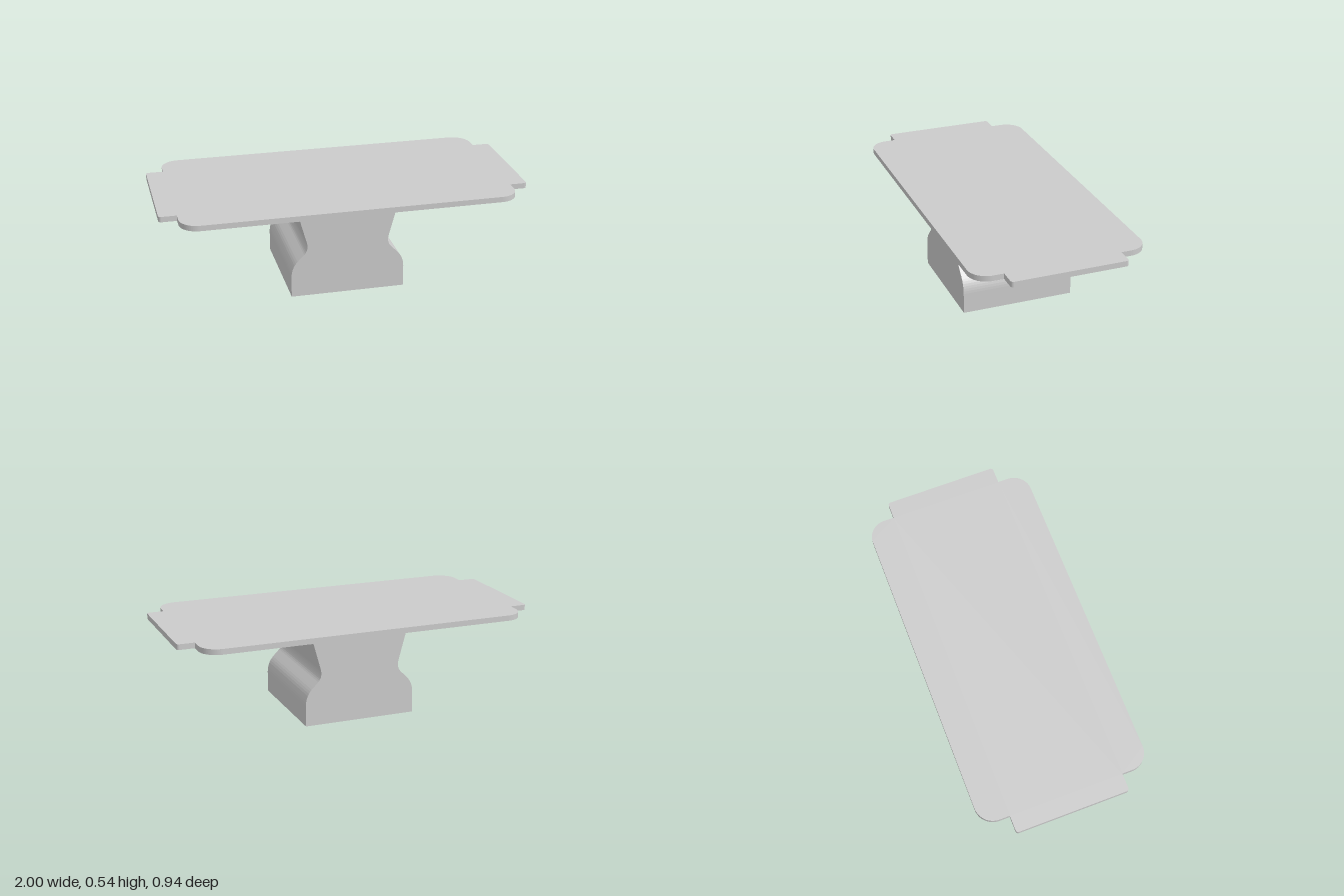
import * as THREE from 'three';

const BASE_TOP = 0.508, TOP = 0.538, HALF_DEPTH = 0.312;

// Tabletop outline: rounded rectangle with a narrower tab at each end
function topOutline() {
  const w = 0.905, d = 0.468, r = 0.1, tab = 1, t = 0.312, f = 0.015;
  const s = new THREE.Shape();
  // the second half is the first turned by 180 degrees
  for (const k of [1, -1]) {
    if (k === 1) s.moveTo(-w + r, -d);
    s.lineTo(k * (w - r), -k * d);
    const a = k === 1 ? 0 : Math.PI;
    s.absarc(k * (w - r), -k * (d - r), r, a - Math.PI / 2, a, false);
    s.lineTo(k * w, -k * t);
    s.lineTo(k * (tab - f), -k * t);
    s.absarc(k * (tab - f), -k * (t - f), f, a - Math.PI / 2, a, false);
    s.lineTo(k * tab, k * (t - f));
    s.absarc(k * (tab - f), k * (t - f), f, a, a + Math.PI / 2, false);
    s.lineTo(k * w, k * t);
    s.lineTo(k * w, k * (d - r));
    s.absarc(k * (w - r), k * (d - r), r, a, a + Math.PI / 2, false);
  }
  return s;
}

// Pedestal cross-section: straight foot, curved shoulder, narrow waist, flared neck
function pedestalOutline() {
  const side = new THREE.Path();
  side.moveTo(0.311, 0);
  side.lineTo(0.311, 0.115);
  side.bezierCurveTo(0.311, 0.155, 0.295, 0.188, 0.268, 0.213);
  side.lineTo(0.24, 0.241);
  side.bezierCurveTo(0.222, 0.26, 0.218, 0.285, 0.226, 0.312);
  side.lineTo(0.28, BASE_TOP);
  const right = side.getPoints(8);
  const left = right.map(p => new THREE.Vector2(-p.x, p.y)).reverse();
  return new THREE.Shape([...right, ...left]);
}

export function createModel() {
  const group = new THREE.Group();
  group.name = 'table';
  const material = new THREE.MeshStandardMaterial({ color: 0xcccccc });

  const topGeo = new THREE.ExtrudeGeometry(topOutline(), {
    depth: TOP - BASE_TOP, bevelEnabled: false, curveSegments: 8,
  });
  topGeo.rotateX(-Math.PI / 2).translate(0, BASE_TOP, 0);
  const tabletop = new THREE.Mesh(topGeo, material);
  tabletop.name = 'tabletop';

  const baseGeo = new THREE.ExtrudeGeometry(pedestalOutline(), {
    depth: 2 * HALF_DEPTH, bevelEnabled: false,
  });
  baseGeo.translate(0, 0, -HALF_DEPTH);
  const pedestal = new THREE.Mesh(baseGeo, material);
  pedestal.name = 'pedestal';

  group.add(tabletop, pedestal);
  return group;
}
